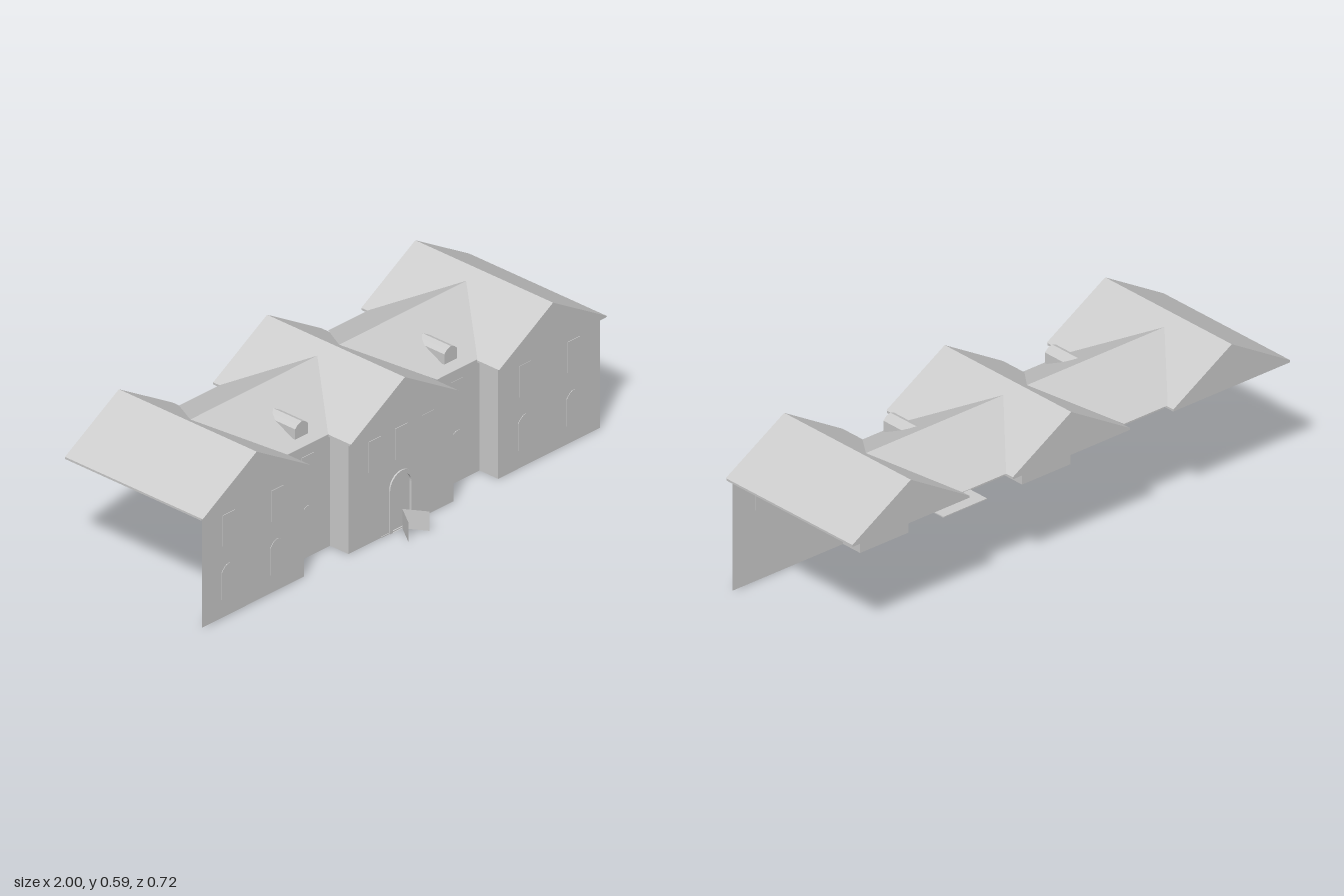
import * as THREE from 'three';

const mat = new THREE.MeshStandardMaterial({ color: 0xcccccc, side: THREE.DoubleSide, flatShading: true });

const FRONT = 0.272;   // front of the projecting wings
const RECESS = 0.185;  // front of the set-back links
const EAVE = 0.433, RIDGE = 0.59, HALF = 0.267;

function add(parent, name, geo, x = 0, y = 0, z = 0) {
  const m = new THREE.Mesh(geo, mat);
  m.name = name;
  m.position.set(x, y, z);
  parent.add(m);
  return m;
}

const poly = pts => new THREE.Shape(pts.map(p => new THREE.Vector2(p[0], p[1])));
const extrude = (shape, depth) => new THREE.ExtrudeGeometry(shape, { depth, bevelEnabled: false, curveSegments: 8 });

// Round-headed outline standing on y = 0
function arch(half, height, Type = THREE.Shape) {
  const s = new Type();
  s.moveTo(-half, 0);
  s.lineTo(half, 0);
  s.lineTo(half, height - half);
  s.absarc(0, height - half, half, 0, Math.PI, false);
  s.lineTo(-half, 0);
  return s;
}

// Flat upright sheet between two points in plan
function sheet(x0, z0, x1, z1, h) {
  return quad([x0, 0, z0], [x1, 0, z1], [x1, h, z1], [x0, h, z0]);
}

function quad(a, b, c, d) {
  const g = new THREE.BufferGeometry();
  g.setAttribute('position', new THREE.Float32BufferAttribute([...a, ...b, ...c, ...d], 3));
  g.setIndex([0, 1, 2, 0, 2, 3]);
  g.computeVertexNormals();
  return g;
}

// Gable roof with closed underside and a thin raised verge at the front
function gableRoof(cx) {
  const g = new THREE.Group();
  g.name = 'gableRoof';
  const body = poly([[-HALF, 0.425], [HALF, 0.425], [HALF, EAVE], [0, RIDGE], [-HALF, EAVE]]);
  add(g, 'roofBody', extrude(body, 0.642), 0, 0, -0.357);
  const verge = poly([[-HALF, EAVE], [-HALF + 0.012, EAVE - 0.004], [0, RIDGE - 0.011],
    [HALF - 0.012, EAVE - 0.004], [HALF, EAVE], [0, RIDGE]]);
  add(g, 'verge', extrude(verge, 0.005), 0, 0, 0.285);
  g.position.x = cx;
  return g;
}

// Roof between two gables, its ends following their slopes; dormer in front
function linkRoof(cx) {
  const g = new THREE.Group();
  g.name = 'linkRoof';
  const e = 0.1, r = 0.315, ry = 0.56, rz = -0.07;
  add(g, 'frontSlope', quad([-e, 0.435, RECESS], [e, 0.435, RECESS], [r, ry, rz], [-r, ry, rz]));
  add(g, 'backSlope', quad([e, 0.435, -0.325], [-e, 0.435, -0.325], [-r, ry, rz], [r, ry, rz]));
  const face = poly([[-0.032, 0], [0.032, 0], [0.032, 0.04], [0.018, 0.053], [0, 0.06], [-0.018, 0.053], [-0.032, 0.04]]);
  add(g, 'dormer', extrude(face, 0.285), 0, 0.455, -0.13);
  g.position.x = cx;
  return g;
}

// Slightly raised upper (square) and lower (segmental) windows
function upperWindow(parent, x, z) {
  add(parent, 'upperWindow', new THREE.BoxGeometry(0.06, 0.12, 0.004), x, 0.335, z);
}
function lowerWindow(parent, x, z) {
  const s = new THREE.Shape();
  s.moveTo(-0.035, 0.07);
  s.lineTo(0.035, 0.07);
  s.lineTo(0.035, 0.175);
  s.quadraticCurveTo(0, 0.225, -0.035, 0.175);
  add(parent, 'lowerWindow', extrude(s, 0.002), x, 0, z);
}

export function createModel() {
  const root = new THREE.Group();
  root.name = 'building';

  // Three gabled wings and two link roofs
  for (const x of [-0.733, 0, 0.733]) root.add(gableRoof(x));
  for (const s of [-1, 1]) root.add(linkRoof(s * 0.369));

  // Side wings, set-back links and the returns between them
  for (const s of [-1, 1]) {
    add(root, 'wingWall', sheet(s * 0.985, FRONT, s * 0.48, FRONT, 0.425));
    add(root, 'outerReturn', sheet(s * 0.48, FRONT, s * 0.48, RECESS, 0.425));
    add(root, 'linkWall', sheet(s * 0.48, RECESS, s * 0.26, RECESS, 0.435));
    add(root, 'innerReturn', sheet(s * 0.26, RECESS, s * 0.26, FRONT, 0.425));
    for (const d of [-0.12, 0.12]) {
      upperWindow(root, s * 0.733 + d, FRONT);
      lowerWindow(root, s * 0.733 + d, FRONT);
    }
    upperWindow(root, s * 0.37, RECESS);
    lowerWindow(root, s * 0.37, RECESS);
  }

  // Central wall with an arched doorway
  const wall = poly([[-0.26, 0], [0.26, 0], [0.26, 0.425], [-0.26, 0.425]]);
  wall.holes.push(arch(0.045, 0.21, THREE.Path));
  add(root, 'centreWall', new THREE.ShapeGeometry(wall), 0, 0, FRONT);
  for (const x of [-0.13, 0, 0.13]) upperWindow(root, x, FRONT);

  // Door surround, door and threshold
  const frame = arch(0.06, 0.225);
  frame.holes.push(arch(0.045, 0.21, THREE.Path));
  add(root, 'doorFrame', extrude(frame, 0.008), 0, 0, 0.27);
  add(root, 'door', new THREE.ShapeGeometry(arch(0.046, 0.211)), 0, 0, 0.27);
  add(root, 'threshold', new THREE.BoxGeometry(0.2, 0.004, 0.09), 0, 0.002, 0.23);

  // Two low screens splayed out from the door
  add(root, 'screen', sheet(-0.055, 0.358, 0, 0.278, 0.075));
  add(root, 'screen', sheet(0, 0.278, 0.05, 0.358, 0.075));
  return root;
}
